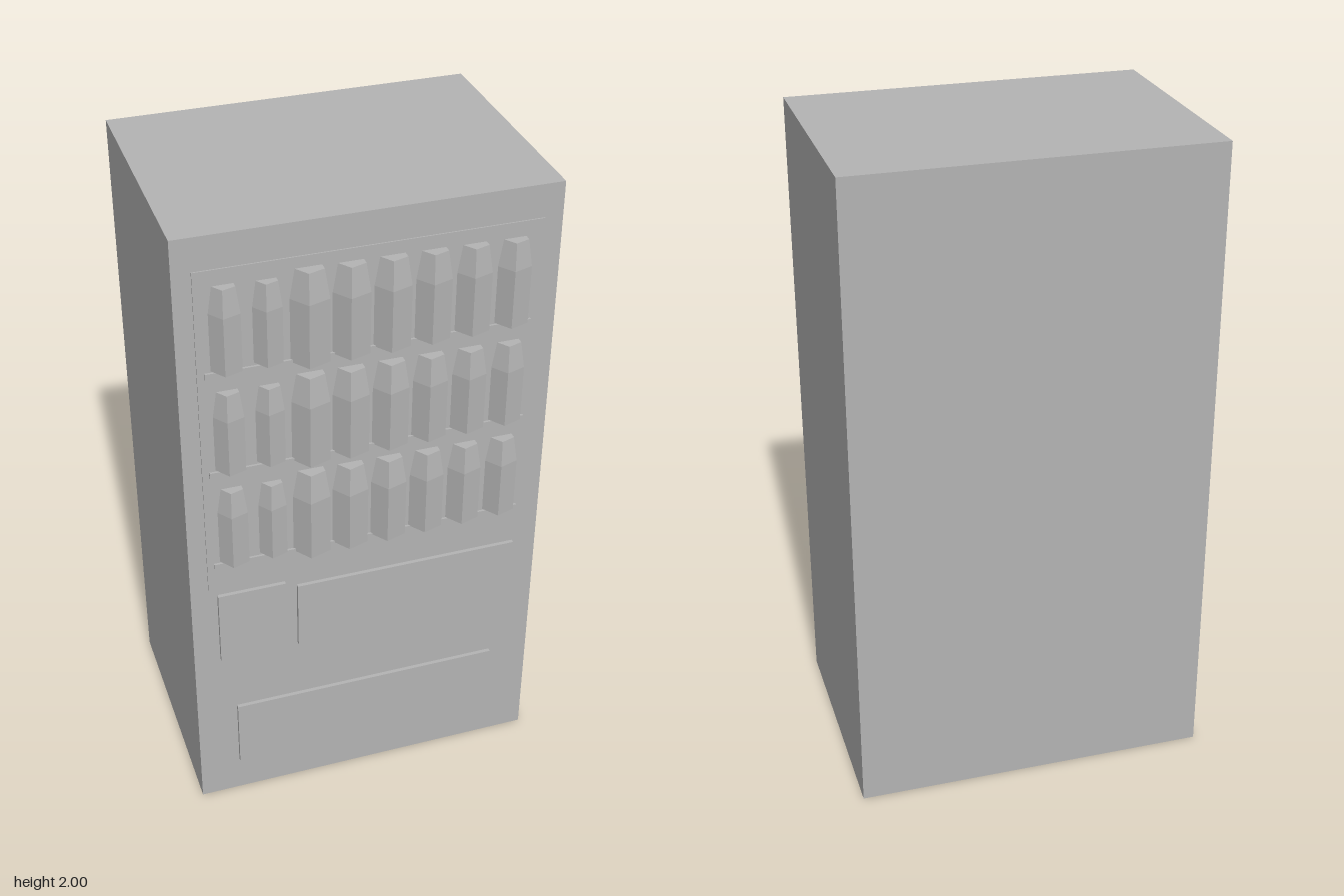
import * as THREE from 'three';

export function createModel() {
  const group = new THREE.Group();
  group.name = 'vendingMachine';
  const grey = new THREE.MeshStandardMaterial({ color: 0xb4b4b4, flatShading: true });
  grey.name = 'plain grey';

  const FRONT = 0.353; // z of the cabinet face

  // Box given by its limits on each axis
  function addBox(name, x0, x1, y0, y1, z0, z1) {
    const mesh = new THREE.Mesh(new THREE.BoxGeometry(x1 - x0, y1 - y0, z1 - z0), grey);
    mesh.position.set((x0 + x1) / 2, (y0 + y1) / 2, (z0 + z1) / 2);
    mesh.name = name;
    group.add(mesh);
  }

  // Cabinet and the plates on its face
  addBox('cabinet', -0.547, 0.547, 0, 2, -0.411, FRONT);
  addBox('displayPanel', -0.493, 0.493, 0.83, 1.9, FRONT - 0.01, 0.357);
  addBox('paymentPanel', -0.467, -0.26, 0.565, 0.815, FRONT - 0.01, 0.365);
  addBox('infoPanel', -0.223, 0.47, 0.565, 0.793, FRONT - 0.01, 0.365);
  addBox('dispenserFlap', -0.422, 0.418, 0.125, 0.358, FRONT - 0.01, 0.365);

  // Five-sided bottle of unit radius and height, with a tapered shoulder
  const profile = [[0, -0.5], [1, -0.5], [1, 0.19], [0.74, 0.5], [0, 0.5]]
    .map(([r, y]) => new THREE.Vector2(r, y));
  const bottle = new THREE.LatheGeometry(profile, 5, -Math.PI / 10);

  // Radius and height of the bottle in each column
  const sizes = [
    [0.0464, 0.257], [0.0435, 0.249], [0.058, 0.284], [0.0555, 0.277],
    [0.055, 0.275], [0.053, 0.27], [0.052, 0.265], [0.05, 0.26],
  ];

  // Three shelves, each with a row of bottles
  for (let row = 0; row < 3; row++) {
    const y = 1.724 - row * 0.3265;
    addBox('shelf', -0.473, 0.47, y - 0.151, y - 0.133, FRONT - 0.01, 0.364);
    sizes.forEach(([radius, height], column) => {
      const mesh = new THREE.Mesh(bottle, grey);
      mesh.scale.set(radius, height, radius);
      mesh.position.set(-0.41 + column * 0.1172, y, 0.3545);
      mesh.name = 'bottle';
      group.add(mesh);
    });
  }
  return group;
}
